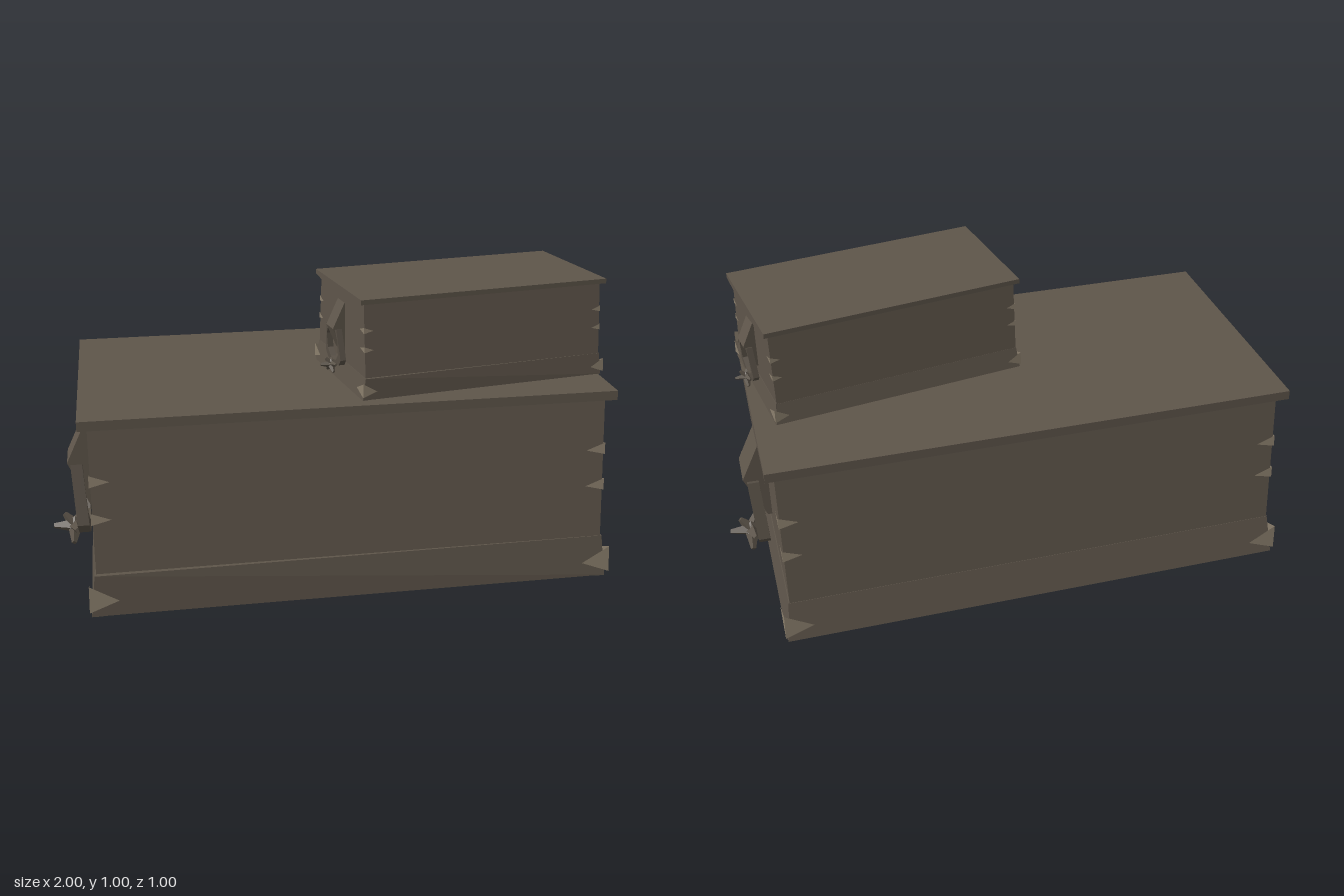
import * as THREE from 'three';
import { ConvexGeometry } from 'three/addons/geometries/ConvexGeometry.js';

const paint = (color) => new THREE.MeshStandardMaterial({ color, flatShading: true, side: THREE.DoubleSide });
const wood = paint(0x5e554a);
const metal = paint(0x8a7e6c);
const iron = paint(0x585046);

function add(parent, name, geometry, material) {
  const mesh = new THREE.Mesh(geometry, material);
  mesh.name = name;
  parent.add(mesh);
  return mesh;
}

// Box between two rectangles [x0, x1, z0, z1] at heights y0 and y1
function block(y0, low, y1, high = low) {
  const g = new THREE.BoxGeometry(1, 1, 1);
  const p = g.attributes.position;
  for (let i = 0; i < p.count; i++) {
    const r = p.getY(i) > 0 ? high : low;
    p.setXYZ(i, r[p.getX(i) > 0 ? 1 : 0], p.getY(i) > 0 ? y1 : y0, r[p.getZ(i) > 0 ? 3 : 2]);
  }
  g.computeVertexNormals();
  return g;
}

const shape = (pts) => new THREE.Shape(pts.map(([x, y]) => new THREE.Vector2(x, y)));
const flip = (pts) => pts.map(([x, y]) => [-x, y]).reverse();

// Half depth of the sloping walls at height y
const wallZ = (y) => 0.48 - (0.06 * y) / 0.635;

function createHandle() {
  const handle = new THREE.Group();

  // Bent mount on the end wall
  const mount = new THREE.ExtrudeGeometry(
    shape([[0.845, 0.22], [0.865, 0.22], [0.935, 0.38], [0.855, 0.55], [0.845, 0.55]]),
    { depth: 0.134, bevelEnabled: false });
  mount.translate(0, 0, -0.067);
  add(handle, 'handleMount', mount, wood);

  // U-shaped pull, leaning in slightly towards the bottom
  const outer = [[0.098, 0.385], [0.151, 0.18], [0.11, 0.137], [0, 0.11]];
  const inner = [[0.05, 0.157], [0.102, 0.205], [0.108, 0.305], [0.066, 0.37]];
  const pull = new THREE.ExtrudeGeometry(
    shape([...outer, ...flip(outer.slice(0, 3)), ...flip(inner), [0, 0.15], ...inner]),
    { depth: 0.04, bevelEnabled: false });
  pull.rotateY(Math.PI / 2);
  const p = pull.attributes.position;
  for (let i = 0; i < p.count; i++) p.setX(i, p.getX(i) + 0.86 + 0.06 * p.getY(i));
  pull.computeVertexNormals();
  add(handle, 'handlePull', pull, iron);

  // Chunky knot with loose ends at the bottom of the pull
  const knot = new THREE.Group();
  knot.name = 'handleKnot';
  knot.position.set(0.925, 0.115, 0);
  handle.add(knot);
  const core = new THREE.OctahedronGeometry(0.036);
  core.scale(1.3, 1, 1);
  add(knot, 'knotCore', core, iron);
  const tips = [[0.075, 0.005, 0], [0.035, 0.045, 0.01], [0.005, -0.05, 0.062],
    [0.005, -0.035, -0.068], [-0.01, 0.015, -0.075], [-0.02, 0.03, 0.045], [-0.05, 0.01, 0.01]];
  for (const t of tips) {
    const tip = new THREE.Vector3(...t);
    const end = new THREE.CylinderGeometry(0.009, 0.026, tip.length(), 4);
    end.translate(0, tip.length() / 2, 0);
    add(knot, 'knotEnd', end, iron)
      .quaternion.setFromUnitVectors(new THREE.Vector3(0, 1, 0), tip.normalize());
  }
  return handle;
}

// Thin pointed sheet folded round a corner, with ridge from low to high [x, y, z]
function bracket(low, high, tipX, tipZ, sx, sz) {
  const y = low[1] * 0.6 + high[1] * 0.4;
  const pts = [low, high, [tipX, y, (low[2] + high[2]) / 2], low, high, [low[0], y, tipZ]];
  const g = new THREE.BufferGeometry();
  g.setAttribute('position', new THREE.Float32BufferAttribute(
    pts.flatMap(([a, b, c]) => [sx * a, b, sz * c]), 3));
  // Both triangles face outwards whichever corner they are mirrored to
  g.setIndex(sx * sz > 0 ? [0, 1, 2, 3, 5, 4] : [0, 2, 1, 3, 4, 5]);
  g.computeVertexNormals();
  return g;
}

function createChest(name) {
  const chest = new THREE.Group();
  chest.name = name;

  // Tapered body with a raised floor
  const low = wallZ(0.07), high = wallZ(0.64);
  add(chest, 'body', block(0.07, [-0.85, 0.85, -low, low], 0.64, [-0.85, 0.85, -high, high]), wood);

  // Front skirt board, standing proud at the right end and flush at the left
  const v = (x, y, z) => new THREE.Vector3(x, y, z);
  add(chest, 'skirtFront', new ConvexGeometry([
    v(-0.87, 0.005, 0.45), v(0.87, 0.005, 0.45), v(-0.855, 0.15, 0.45), v(0.855, 0.15, 0.45),
    v(-0.87, 0.005, 0.48), v(0.87, 0.005, 0.479), v(-0.855, 0.15, 0.482), v(0.855, 0.15, 0.468),
  ]), wood);
  // Back and end skirt boards, flush at the top and flaring out below
  add(chest, 'skirtBack', block(0.01, [-0.87, 0.87, -0.495, -0.45], 0.15, [-0.852, 0.852, -0.467, -0.45]), wood);
  for (const s of [-1, 1]) {
    const xs = (a, b) => [Math.min(s * a, s * b), Math.max(s * a, s * b)];
    add(chest, 'skirtEnd', block(0.003, [...xs(0.835, 0.872), -0.478, 0.478], 0.15, [...xs(0.835, 0.853), -0.466, 0.466]), wood);
  }

  // Lid with a thin pointed apron at each end
  add(chest, 'lid', block(0.635, [-0.88, 0.88, -0.453, 0.453], 0.667), wood);
  for (const s of [-1, 1]) {
    const apron = new THREE.ShapeGeometry(shape([[-0.453, 0.636], [0, 0.577], [0.453, 0.636]]));
    apron.rotateY(s * Math.PI / 2);
    apron.translate(s * 0.879, 0, 0);
    add(chest, 'lidApron', apron, wood);
  }

  // Large brackets at the base and two small ones up each corner
  for (const sx of [-1, 1]) for (const sz of [-1, 1]) {
    add(chest, 'baseBracket', bracket([0.877, 0.028, 0.498], [0.875, 0.12, 0.494], 0.78, 0.375, sx, sz), metal);
    for (const y of [0.335, 0.46]) {
      const ridge = (h) => [0.855, h, wallZ(h) + 0.004];
      add(chest, 'cornerBracket', bracket(ridge(y - 0.02), ridge(y + 0.02), 0.79, wallZ(y) - 0.075, sx, sz), metal);
    }
  }

  // Handles on both ends
  for (const [side, turn] of [['leftHandle', 0], ['rightHandle', Math.PI]]) {
    const handle = createHandle();
    handle.name = side;
    handle.rotation.y = turn;
    chest.add(handle);
  }
  return chest;
}

export function createModel() {
  const model = new THREE.Group();
  model.name = 'stackedChests';
  model.add(createChest('largeChest'));

  // Half-size chest turned slightly on top
  const small = createChest('smallChest');
  small.scale.setScalar(0.498);
  small.position.set(0.419, 0.668, 0.111);
  small.rotation.y = 0.16;
  model.add(small);
  return model;
}
